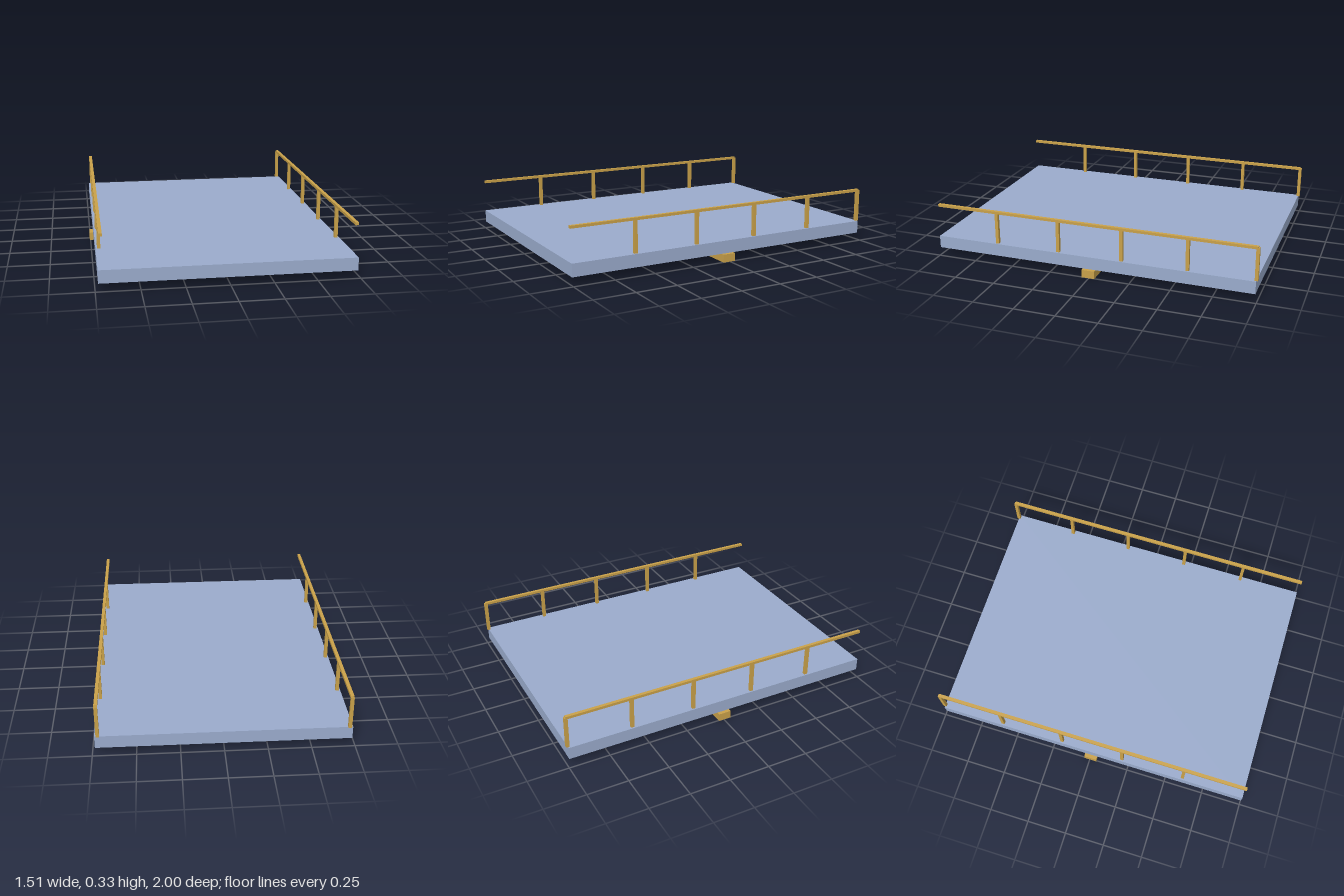
import * as THREE from 'three';

export function createModel() {
  const model = new THREE.Group();
  const blue = new THREE.MeshStandardMaterial({ color: 0x9aabcc });
  blue.name = 'pale blue';
  const gold = new THREE.MeshStandardMaterial({ color: 0xc9a149 });
  gold.name = 'ochre gold';

  // Box given by its extents along each axis
  function box(name, material, [x0, x1], [y0, y1], [z0, z1], parent = model) {
    const mesh = new THREE.Mesh(new THREE.BoxGeometry(x1 - x0, y1 - y0, z1 - z0), material);
    mesh.position.set((x0 + x1) / 2, (y0 + y1) / 2, (z0 + z1) / 2);
    mesh.name = name;
    parent.add(mesh);
  }

  // Deck slab and the cross beam that carries it
  box('deck', blue, [-0.733, 0.733], [0.048, 0.125], [-0.99, 1]);
  box('crossBeam', gold, [-0.755, 0.755], [0, 0.048], [-0.035, 0.045]);

  // Railings: a handrail on five posts, open at the front end
  for (const [side, x] of [['left', 0.714], ['right', -0.714]]) {
    const railing = new THREE.Group();
    railing.name = side + 'Railing';
    const width = [x - 0.01, x + 0.01];
    box('handrail', gold, width, [0.316, 0.332], [-0.992, 1], railing);
    for (let i = 0; i < 5; i++) {
      const z = -0.99 + i * 0.399;
      box('post', gold, width, [0.125, 0.325], [z - 0.01, z + 0.01], railing);
    }
    model.add(railing);
  }

  return model;
}
